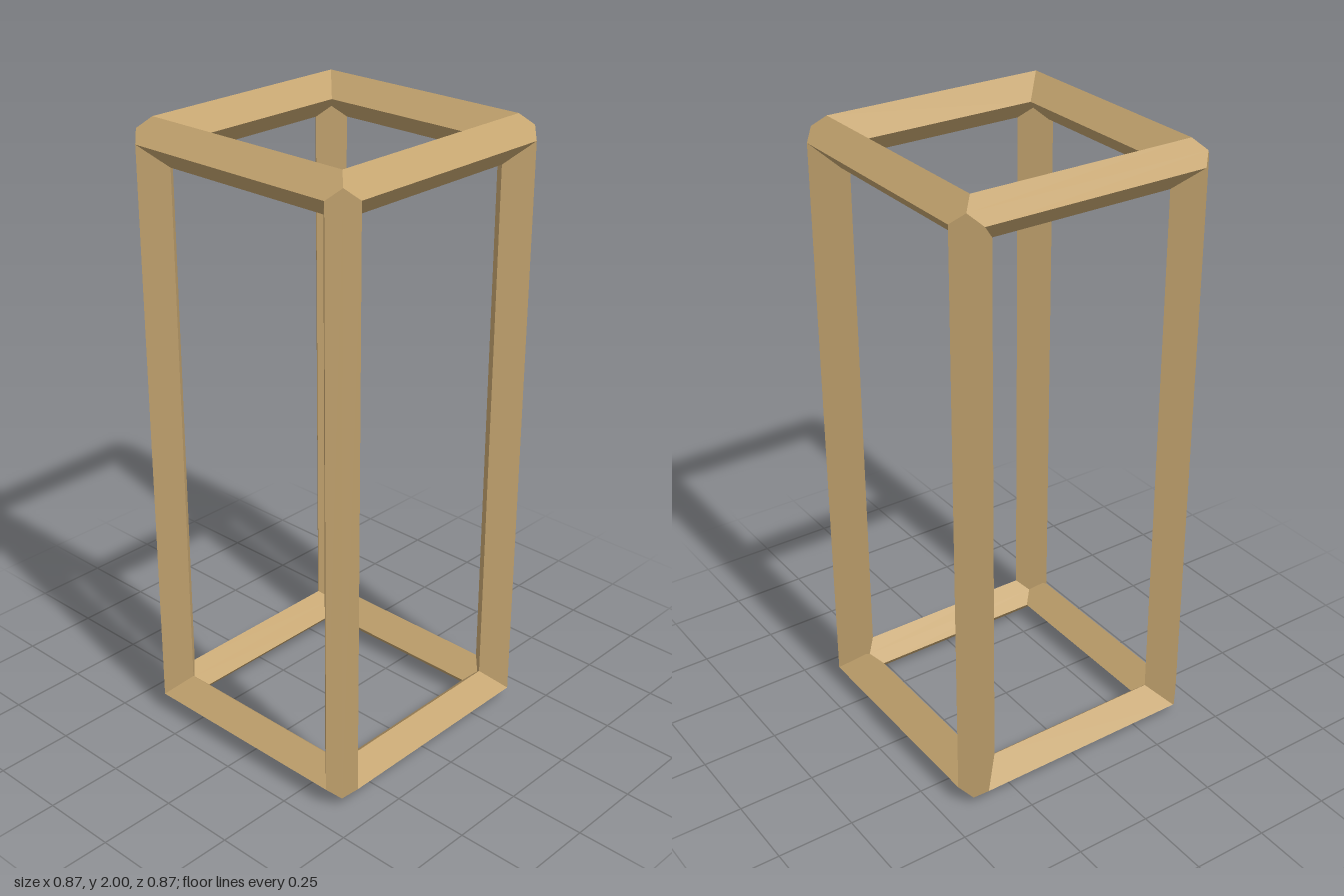
import * as THREE from 'three';

// Half spans between bar centre lines, and the half diagonal of the bar section
const HALF = [0.367, 0.932, 0.367];
const R = 0.068;

// Diamond section: [outward u, outward v, extra length at each mitred end]
const SECTION = [
  [R, 0, 0], [R / 2, R / 2, R / 2], [0, R, 0],
  [-R, 0, -R], [-R / 2, -R / 2, -R / 2], [0, -R, -R],
];

// One mitred bar along an axis, on the su / sv sides of the other two axes
function barGeometry(axis, su, sv) {
  const u = (axis + 1) % 3, v = (axis + 2) % 3;
  const point = ([du, dv, e], end) => {
    const p = [0, 0, 0];
    p[axis] = end * (HALF[axis] + e);
    p[u] = su * (HALF[u] + du);
    p[v] = sv * (HALF[v] + dv);
    return p;
  };
  const positions = [];
  SECTION.forEach((s, i) => {
    const next = SECTION[(i + 1) % SECTION.length];
    const a = point(s, -1), b = point(next, -1), c = point(next, 1), d = point(s, 1);
    const corners = su * sv > 0 ? [a, b, c, a, c, d] : [a, c, b, a, d, c];
    positions.push(...corners.flat());
  });
  const geometry = new THREE.BufferGeometry();
  geometry.setAttribute('position', new THREE.Float32BufferAttribute(positions, 3));
  geometry.computeVertexNormals();
  return geometry;
}

export function createModel() {
  const model = new THREE.Group();
  model.name = 'openFrame';
  const wood = new THREE.MeshStandardMaterial({ color: 0xc4a46f });
  const names = ['crossRail', 'post', 'sideRail'];

  // Four parallel bars on each of the three axes
  names.forEach((name, axis) => {
    for (const su of [-1, 1]) {
      for (const sv of [-1, 1]) {
        const bar = new THREE.Mesh(barGeometry(axis, su, sv), wood);
        bar.name = name;
        bar.position.y = 1;
        model.add(bar);
      }
    }
  });
  return model;
}
